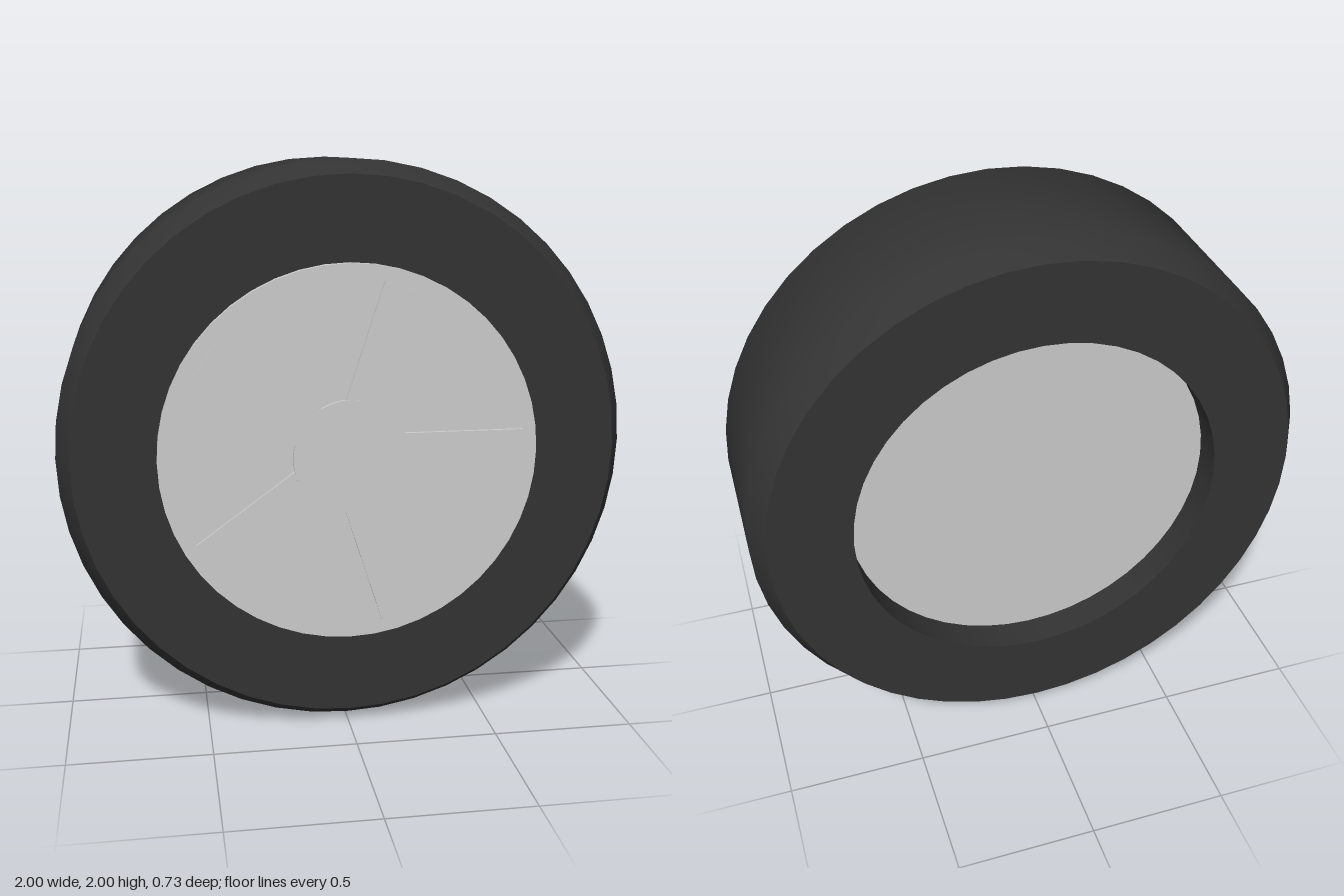
import * as THREE from 'three';
import { toCreasedNormals } from 'three/addons/utils/BufferGeometryUtils.js';

const SEGMENTS = 48;
const SPOKES = 5;

export function createModel() {
  const model = new THREE.Group();
  model.name = 'wheel';
  const rubber = new THREE.MeshStandardMaterial({ color: 0x333333 });
  const metal = new THREE.MeshStandardMaterial({ color: 0xcccccc });

  const add = (name, geometry, material, parent = model) => {
    const mesh = new THREE.Mesh(geometry, material);
    mesh.name = name;
    parent.add(mesh);
    return mesh;
  };

  // Disc along z between two depths, centred on the axle
  const disc = (radius, back, front) =>
    new THREE.CylinderGeometry(radius, radius, front - back, SEGMENTS)
      .rotateX(Math.PI / 2)
      .translate(0, 1, (front + back) / 2);

  // Tyre: closed ring profile (radius, depth) with chamfered shoulders
  const profile = [
    [0.66, -0.365], [0.95, -0.365], [1, -0.285], [1, 0.24],
    [0.95, 0.32], [0.66, 0.32], [0.66, -0.365],
  ].map(([r, z]) => new THREE.Vector2(r, z));
  const tyre = new THREE.LatheGeometry(profile, SEGMENTS).rotateX(Math.PI / 2).translate(0, 1, 0);
  add('tyre', toCreasedNormals(tyre, 0.7), rubber);

  // Rim: solid disc, proud of the tyre in front and recessed at the back
  add('rim', disc(0.66, -0.25, 0.35), metal);

  // Hub cap
  add('hub', disc(0.2, 0.34, 0.365), metal);

  // Raised spokes, the first pointing along +x
  const spokes = new THREE.Group();
  spokes.name = 'spokes';
  spokes.position.y = 1;
  model.add(spokes);
  const bar = new THREE.BoxGeometry(0.5, 0.156, 0.04).translate(0.355, 0, 0.343);
  for (let i = 0; i < SPOKES; i++) {
    add('spoke', bar, metal, spokes).rotation.z = (i * 2 * Math.PI) / SPOKES;
  }

  return model;
}
